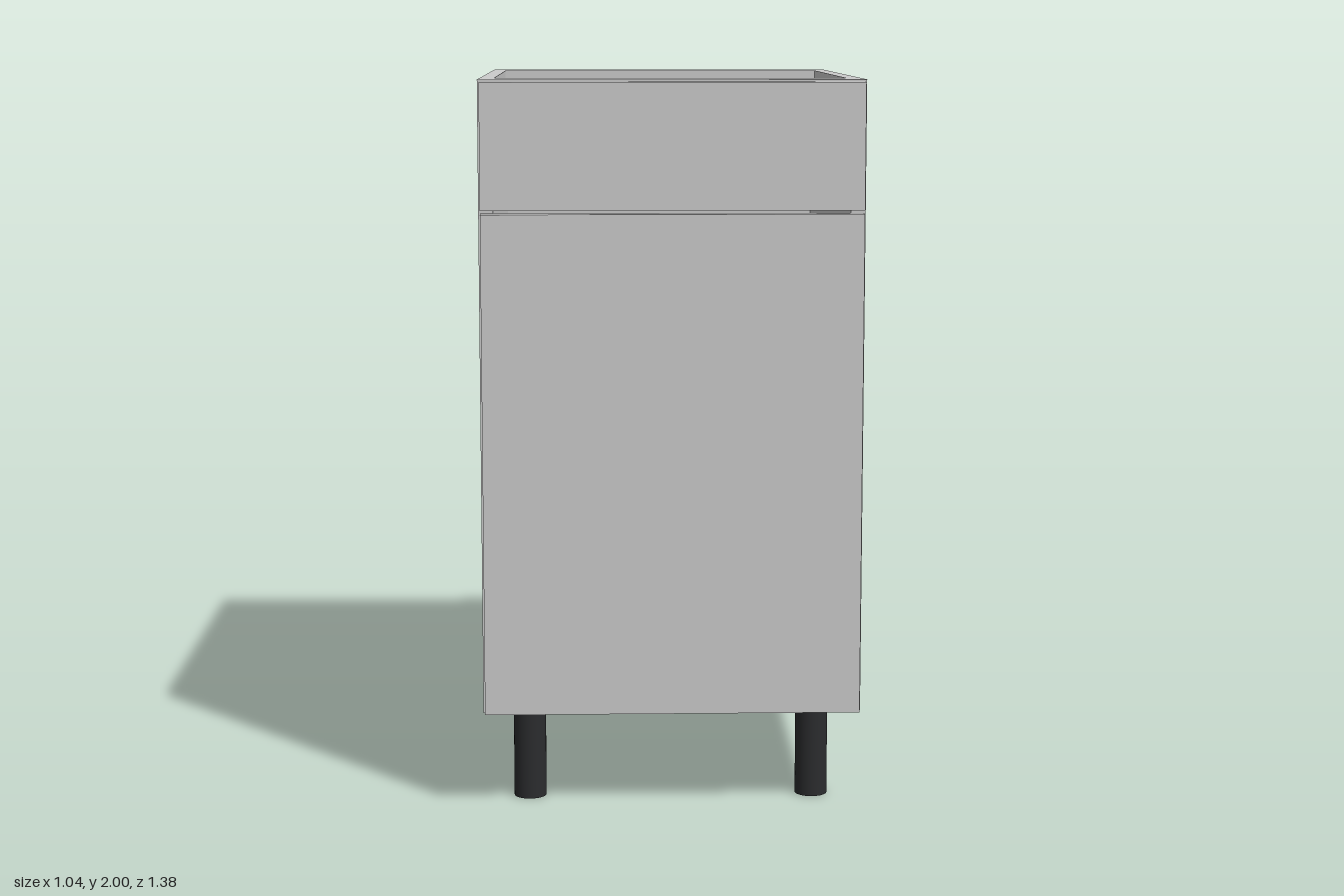
import * as THREE from 'three';

export function createModel() {
  const model = new THREE.Group();
  model.name = 'baseCabinet';

  const panelMat = new THREE.MeshStandardMaterial({ color: 0xcccccc });
  const metalMat = new THREE.MeshStandardMaterial({ color: 0xa9b1b6 });
  const legMat = new THREE.MeshStandardMaterial({ color: 0x2b2c2e });

  // Box given by its extents along each axis
  function panel(name, [x0, x1], [y0, y1], [z0, z1], parent, mat = panelMat) {
    const mesh = new THREE.Mesh(new THREE.BoxGeometry(x1 - x0, y1 - y0, z1 - z0), mat);
    mesh.position.set((x0 + x1) / 2, (y0 + y1) / 2, (z0 + z1) / 2);
    mesh.name = name;
    parent.add(mesh);
  }

  function group(name) {
    const g = new THREE.Group();
    g.name = name;
    model.add(g);
    return g;
  }

  const base = 0.268, top = 2, back = -0.69, front = 0.645, t = 0.04;
  const outer = 0.52, inner = outer - t;
  const inside = [-inner, inner];

  // Carcass: sides, bottom, back and the two top stretchers
  const carcass = group('carcass');
  panel('leftSide', [inner, outer], [base, top], [back, front], carcass);
  panel('rightSide', [-outer, -inner], [base, top], [back, front], carcass);
  panel('bottom', inside, [base, base + t], [back + t, front], carcass);
  panel('backPanel', inside, [base, top - t], [back, back + t], carcass);
  panel('backStretcher', inside, [top - t, top], [back, -0.525], carcass);
  panel('frontStretcher', inside, [top - t, top], [0.485, front], carcass);

  // Door
  panel('door', [-0.514, 0.514], [0.274, 1.644], [front, 0.69], model);

  // Drawer with a front, metal sides, floor and back
  const drawer = group('drawer');
  panel('drawerFront', [-0.514, 0.514], [1.654, 1.994], [front, 0.69], drawer);
  panel('drawerFloor', [-0.44, 0.44], [1.69, 1.72], [-0.58, front], drawer);
  panel('drawerBack', [-0.44, 0.44], [1.69, 1.92], [-0.62, -0.58], drawer);
  panel('drawerLeftSide', [0.44, 0.463], [1.68, 1.92], [-0.62, front], drawer, metalMat);
  panel('drawerRightSide', [-0.463, -0.44], [1.68, 1.92], [-0.62, front], drawer, metalMat);
  // Slides fixed to the carcass sides
  panel('leftSlide', [0.463, inner], [1.68, 1.75], [-0.62, front], drawer, metalMat);
  panel('rightSlide', [-inner, -0.463], [1.68, 1.75], [-0.62, front], drawer, metalMat);

  // Round legs
  const legs = group('legs');
  const legGeo = new THREE.CylinderGeometry(0.045, 0.045, base, 32);
  for (const x of [-0.395, 0.395]) {
    for (const z of [-0.545, 0.525]) {
      const leg = new THREE.Mesh(legGeo, legMat);
      leg.position.set(x, base / 2, z);
      leg.name = (z > 0 ? 'front' : 'back') + (x > 0 ? 'Left' : 'Right') + 'Leg';
      legs.add(leg);
    }
  }

  return model;
}
